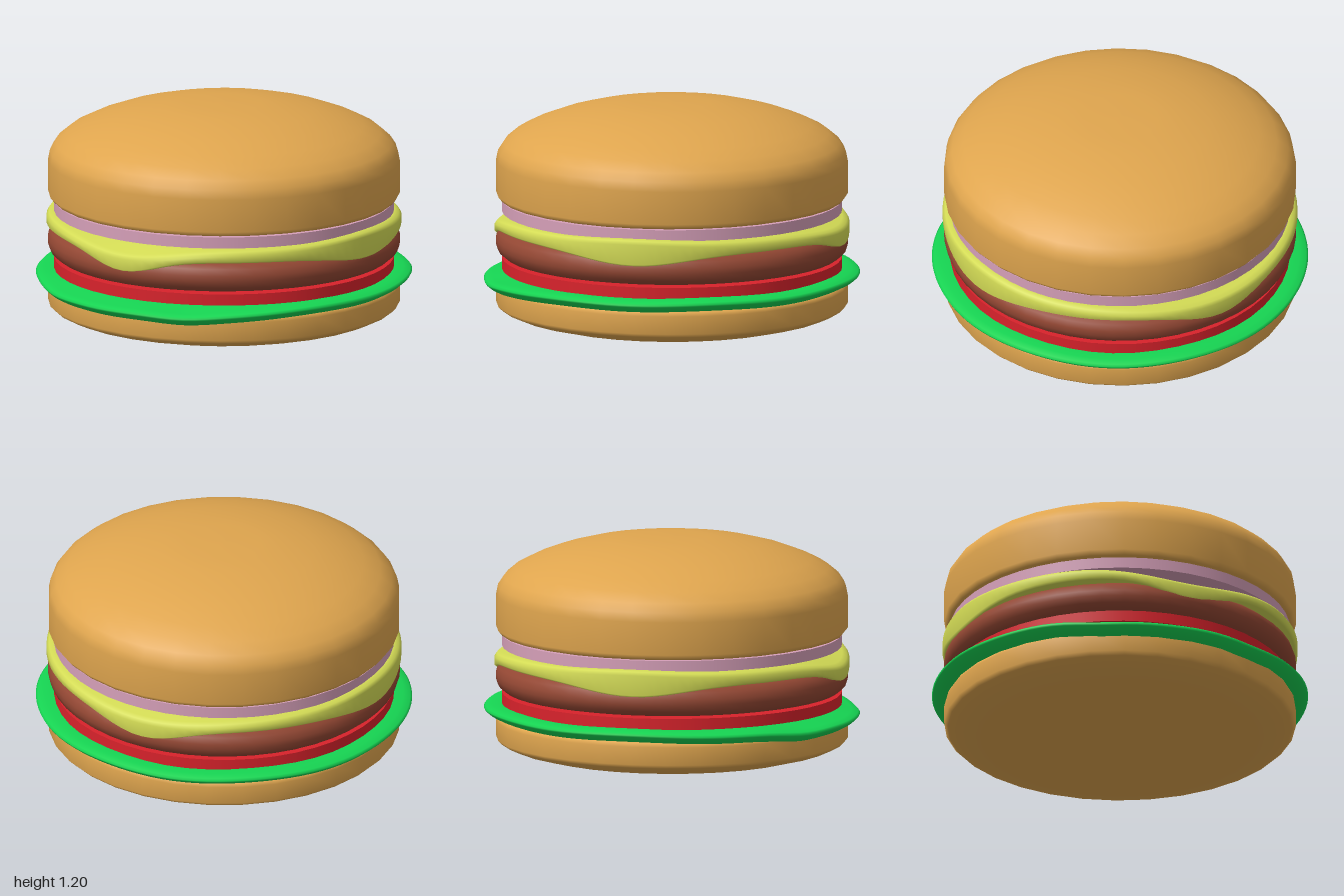
import * as THREE from 'three';
import { mergeVertices } from 'three/addons/utils/BufferGeometryUtils.js';

const COLORS = {
  bun: 0xdfa54e, patty: 0x934733, cheese: 0xd3db55,
  onion: 0xd59fb8, tomato: 0xd8222b, lettuce: 0x16d452,
};

const mesh = (name, geometry, color) => {
  const m = new THREE.Mesh(geometry, new THREE.MeshStandardMaterial({ color }));
  m.name = name;
  return m;
};

// Profiles run from the bottom centre, round the rim, to the top centre: [radius, y]
const turned = (profile, sides) =>
  new THREE.LatheGeometry(profile.map(([r, y]) => new THREE.Vector2(r, y)), sides);

const slice = (name, radius, bottom, top, color) => {
  const g = new THREE.CylinderGeometry(radius, radius, top - bottom, 48);
  g.translate(0, (top + bottom) / 2, 0);
  return mesh(name, g, color);
};

// A thin turned sheet whose rim is shifted up or down by a rule of angle and side
const wavySheet = (profile, startRadius, midY, shift) => {
  let g = turned(profile, 96);
  const p = g.attributes.position;
  for (let i = 0; i < p.count; i++) {
    const x = p.getX(i), y = p.getY(i), z = p.getZ(i);
    const w = THREE.MathUtils.smoothstep(Math.hypot(x, z), startRadius, 0.93);
    p.setY(i, y + w * shift(Math.atan2(x, z), y > midY));
  }
  g.deleteAttribute('normal');
  g.deleteAttribute('uv');
  g = mergeVertices(g, 1e-5);
  g.computeVertexNormals();
  return g;
};

// Smooth bump of a given width around one angle (0 is the front)
const bump = (a, centre, width) => {
  const d = Math.atan2(Math.sin(a - centre), Math.cos(a - centre));
  return Math.exp(-((d / width) ** 2));
};

export function createModel() {
  const burger = new THREE.Group();
  burger.name = 'burger';

  // Buns
  burger.add(mesh('bottomBun', turned([
    [0, 0], [0.3, 0.004], [0.52, 0.018], [0.72, 0.045], [0.85, 0.078], [0.91, 0.105],
    [0.93, 0.125], [0.93, 0.22], [0.92, 0.24], [0.89, 0.25], [0, 0.25],
  ], 32), COLORS.bun));
  burger.add(mesh('topBun', turned([
    [0, 0.68], [0.87, 0.68], [0.91, 0.69], [0.93, 0.715], [0.93, 0.89], [0.92, 0.94],
    [0.89, 0.985], [0.83, 1.035], [0.74, 1.08], [0.62, 1.125], [0.48, 1.162],
    [0.33, 1.185], [0.2, 1.198], [0, 1.2],
  ], 32), COLORS.bun));

  // Lettuce: dips at the front, with small ripples along the rim
  const lettuce = wavySheet([
    [0, 0.25], [0.6, 0.25], [0.8, 0.25], [0.89, 0.245], [0.935, 0.247], [0.97, 0.265],
    [0.99, 0.282], [0.995, 0.292], [0.985, 0.302], [0.95, 0.312], [0.9, 0.313],
    [0.8, 0.312], [0.6, 0.31], [0, 0.31],
  ], 0.7, 0.28, (a) =>
    -0.035 * bump(a, 0, 0.85) - 0.016 * bump(a, -0.55, 0.2) - 0.014 * bump(a, 0.38, 0.2)
    + 0.003 * Math.sin(7 * a));
  burger.add(mesh('lettuce', lettuce, COLORS.lettuce));

  burger.add(slice('tomatoSlice', 0.9, 0.31, 0.37, COLORS.tomato));

  // Patty
  burger.add(mesh('patty', turned([
    [0, 0.375], [0.84, 0.375], [0.89, 0.385], [0.92, 0.41], [0.932, 0.445], [0.932, 0.475],
    [0.92, 0.51], [0.89, 0.535], [0.84, 0.545], [0, 0.545],
  ], 48), COLORS.patty));

  // Cheese: four drooping corners, the front and back ones sagging on top as well
  const cheese = wavySheet([
    [0, 0.555], [0.7, 0.555], [0.84, 0.555], [0.9, 0.548], [0.925, 0.546], [0.938, 0.556],
    [0.938, 0.59], [0.925, 0.608], [0.9, 0.617], [0.82, 0.62], [0.7, 0.62], [0, 0.62],
  ], 0.65, 0.575, (a, top) => {
    const front = bump(a, 0, 0.28), back = bump(a, Math.PI, 0.3);
    const sides = bump(a, Math.PI / 2, 0.38) + bump(a, -Math.PI / 2, 0.38);
    return top
      ? 0.014 * sides - 0.06 * bump(a, 0, 0.4) - 0.04 * bump(a, Math.PI, 0.5)
      : -0.085 * front - 0.08 * back - 0.06 * sides;
  });
  burger.add(mesh('cheese', cheese, COLORS.cheese));

  burger.add(slice('onionSlice', 0.9, 0.62, 0.68, COLORS.onion));

  return burger;
}
